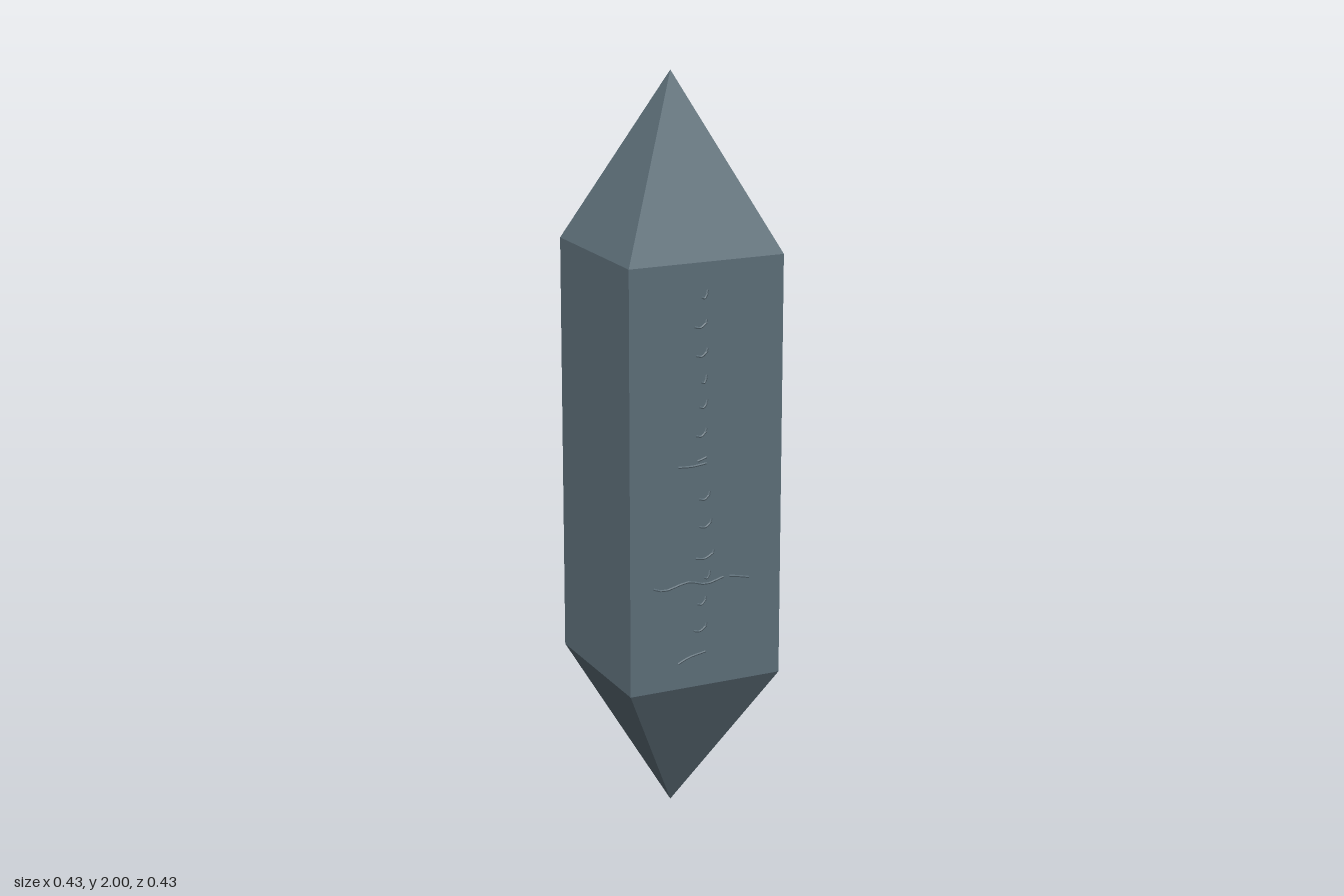
import * as THREE from 'three';

const HALF = 0.216;

export function createModel() {
  const model = new THREE.Group();
  const material = new THREE.MeshStandardMaterial({ color: 0x5e707a, flatShading: true });

  // Square prism with a pyramid at each end
  const r = HALF * Math.SQRT2;
  const profile = [[0, 0], [r, 0.415], [r, 1.548], [0, 2]].map(([x, y]) => new THREE.Vector2(x, y));
  const crystal = new THREE.Mesh(new THREE.LatheGeometry(profile, 4, Math.PI / 4), material);
  crystal.name = 'crystalBody';
  model.add(crystal);

  // Fine scratches down the middle of the front face, flattened against it
  const scratches = new THREE.Group();
  scratches.name = 'frontScratches';
  const addScratch = (points) => {
    const curve = new THREE.CatmullRomCurve3(points.map(([x, y]) => new THREE.Vector3(x, y, 0)));
    const scratch = new THREE.Mesh(new THREE.TubeGeometry(curve, 10, 0.003, 4), material);
    scratch.name = 'scratch';
    scratch.scale.z = 0.5;
    scratches.add(scratch);
  };

  // Short ticks: height, start x, end x
  const ticks = [
    [1.46, -0.015, 0.002], [1.385, -0.035, 0], [1.31, -0.03, 0.002], [1.24, -0.015, 0],
    [1.175, -0.02, 0.002], [1.1, -0.03, 0], [0.93, -0.02, 0.01], [0.855, -0.02, 0.015],
    [0.77, -0.03, 0.022], [0.715, -0.005, 0.012], [0.645, -0.025, 0], [0.572, -0.035, 0.002],
  ];
  for (const [y, x0, x1] of ticks) {
    addScratch([[x0, y - 0.002], [(x0 + x1) / 2, y - 0.005], [x1, y + 0.008]]);
    addScratch([[x1 - 0.003, y + 0.006], [x1, y + 0.016]]);
  }

  // Longer strokes
  addScratch([[-0.08, 1.02], [-0.04, 1.018], [0, 1.022]]);
  addScratch([[-0.025, 1.03], [0, 1.038]]);
  addScratch([[-0.15, 0.702], [-0.12, 0.693], [-0.05, 0.707], [0, 0.695], [0.05, 0.707]]);
  addScratch([[0.068, 0.707], [0.095, 0.702], [0.125, 0.695]]);
  addScratch([[-0.08, 0.485], [-0.05, 0.498], [0, 0.508]]);

  scratches.position.z = HALF;
  model.add(scratches);
  return model;
}
